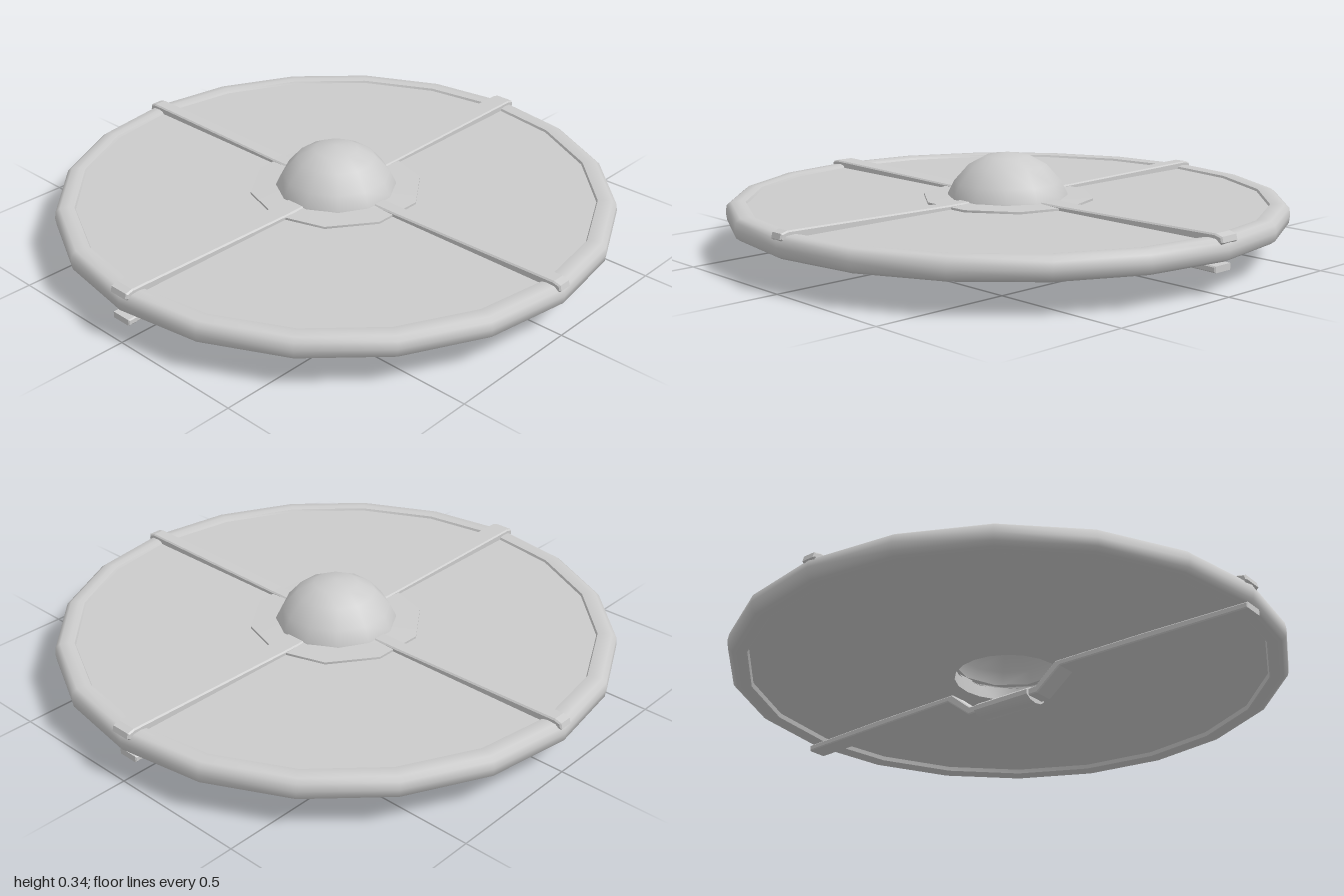
import * as THREE from 'three';
import { toCreasedNormals } from 'three/addons/utils/BufferGeometryUtils.js';

const material = new THREE.MeshStandardMaterial({ color: 0xcccccc, side: THREE.DoubleSide });
const toVectors = (points) => points.map(([x, y]) => new THREE.Vector2(x, y));

// Solid of revolution with few sides; creaseAngle keeps hard edges sharp
function turned(name, profile, sides, phase = 0, creaseAngle = 0.7) {
  const geometry = new THREE.LatheGeometry(toVectors(profile), sides, phase);
  const mesh = new THREE.Mesh(toCreasedNormals(geometry, creaseAngle), material);
  mesh.name = name;
  return mesh;
}

// Side outline (along, height) widened evenly to both sides, running along +x
function strip(name, outline, width, bevel) {
  const geometry = new THREE.ExtrudeGeometry(new THREE.Shape(toVectors(outline)), {
    depth: width - 2 * bevel, bevelEnabled: bevel > 0, bevelThickness: bevel,
    bevelSize: bevel, bevelOffset: -bevel, bevelSegments: 1,
  });
  geometry.translate(0, 0, bevel - width / 2);
  const mesh = new THREE.Mesh(geometry, material);
  mesh.name = name;
  return mesh;
}

export function createModel() {
  const shield = new THREE.Group();
  shield.name = 'roundShield';

  // Board with a round hole behind the boss
  shield.add(turned('board', [
    [0.195, 0.13], [0.95, 0.13], [0.95, 0.178], [0.195, 0.178], [0.195, 0.13],
  ], 20));

  // Rounded rim
  shield.add(turned('rim', [
    [0.925, 0.13], [0.93, 0.115], [0.95, 0.109], [0.98, 0.111], [0.996, 0.122], [1, 0.15],
    [0.996, 0.176], [0.98, 0.188], [0.95, 0.19], [0.93, 0.186], [0.925, 0.176],
  ], 20, 0, 0.9));

  // Boss: flange and hollow dome
  shield.add(turned('bossFlange', [
    [0.2, 0.175], [0.31, 0.175], [0.31, 0.186], [0.2, 0.19],
  ], 10));
  shield.add(turned('bossDome', [
    [0.219, 0.178], [0.215, 0.195], [0.193, 0.24], [0.14, 0.3], [0.08, 0.332], [0, 0.345],
  ], 12, Math.PI / 12));

  // Four reinforcing bars from the boss over the rim
  const barOutline = [
    [0.2, 0.17], [0.99, 0.17], [1, 0.178], [0.995, 0.197], [0.97, 0.204], [0.9, 0.203], [0.3, 0.193], [0.2, 0.193],
  ];
  for (let i = 0; i < 4; i++) {
    const bar = strip('reinforcingBar', barOutline, i % 2 ? 0.08 : 0.055, 0.005);
    bar.rotation.y = i * Math.PI / 2;
    shield.add(bar);
  }

  // Handle strap along z: flat arms and two bends down to the grip
  const handle = new THREE.Group();
  handle.name = 'handle';
  for (const [side, end] of [[1, 0.995], [-1, 0.975]]) {
    const arm = strip('handleArm', [
      [0.11, 0.017], [0.155, 0.017], [0.255, 0.093], [end, 0.078],
      [end, 0.1], [0.6, 0.111], [0.235, 0.115], [0.15, 0.046], [0.11, 0.042],
    ], 0.08, 0.004);
    arm.rotation.y = -side * Math.PI / 2;
    handle.add(arm);
  }
  const gripGeometry = new THREE.CylinderGeometry(1, 1, 0.24, 10);
  gripGeometry.rotateX(Math.PI / 2).scale(0.053, 0.028, 1).translate(0, 0.028, 0);
  const grip = new THREE.Mesh(toCreasedNormals(gripGeometry, 0.8), material);
  grip.name = 'grip';
  handle.add(grip);
  shield.add(handle);

  return shield;
}
